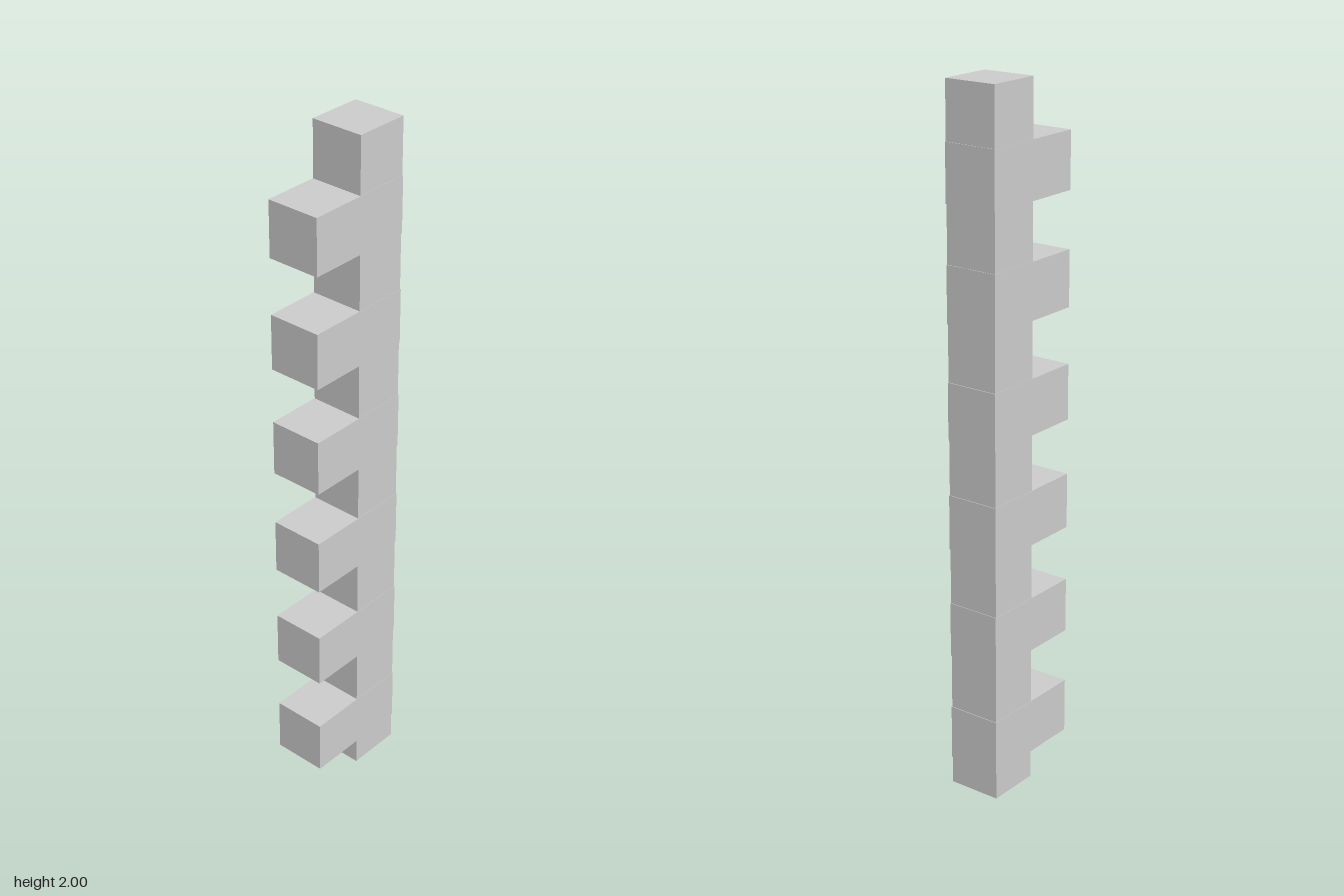
import * as THREE from 'three';

export function createModel() {
  const group = new THREE.Group();
  const material = new THREE.MeshStandardMaterial({ color: 0xcccccc, flatShading: true });
  const course = 0.16; // height of one stone

  function stone(name, x0, x1, y0, y1, depth) {
    const mesh = new THREE.Mesh(new THREE.BoxGeometry(x1 - x0, y1 - y0, depth), material);
    mesh.position.set((x0 + x1) / 2, (y0 + y1) / 2, 0);
    mesh.name = name;
    group.add(mesh);
  }

  // Half-height stone at the foot
  stone('baseStone', 0, 0.16, 0, course / 2, 0.156);

  // Alternating long and short corner stones; the long ones stand slightly proud
  for (let i = 0; i < 6; i++) {
    const y = course / 2 + i * 2 * course;
    stone('longStone' + (i + 1), -0.162, 0.162, y, y + course, 0.158);
    stone('shortStone' + (i + 1), 0, 0.16, y + course, y + 2 * course, 0.156);
  }
  return group;
}
